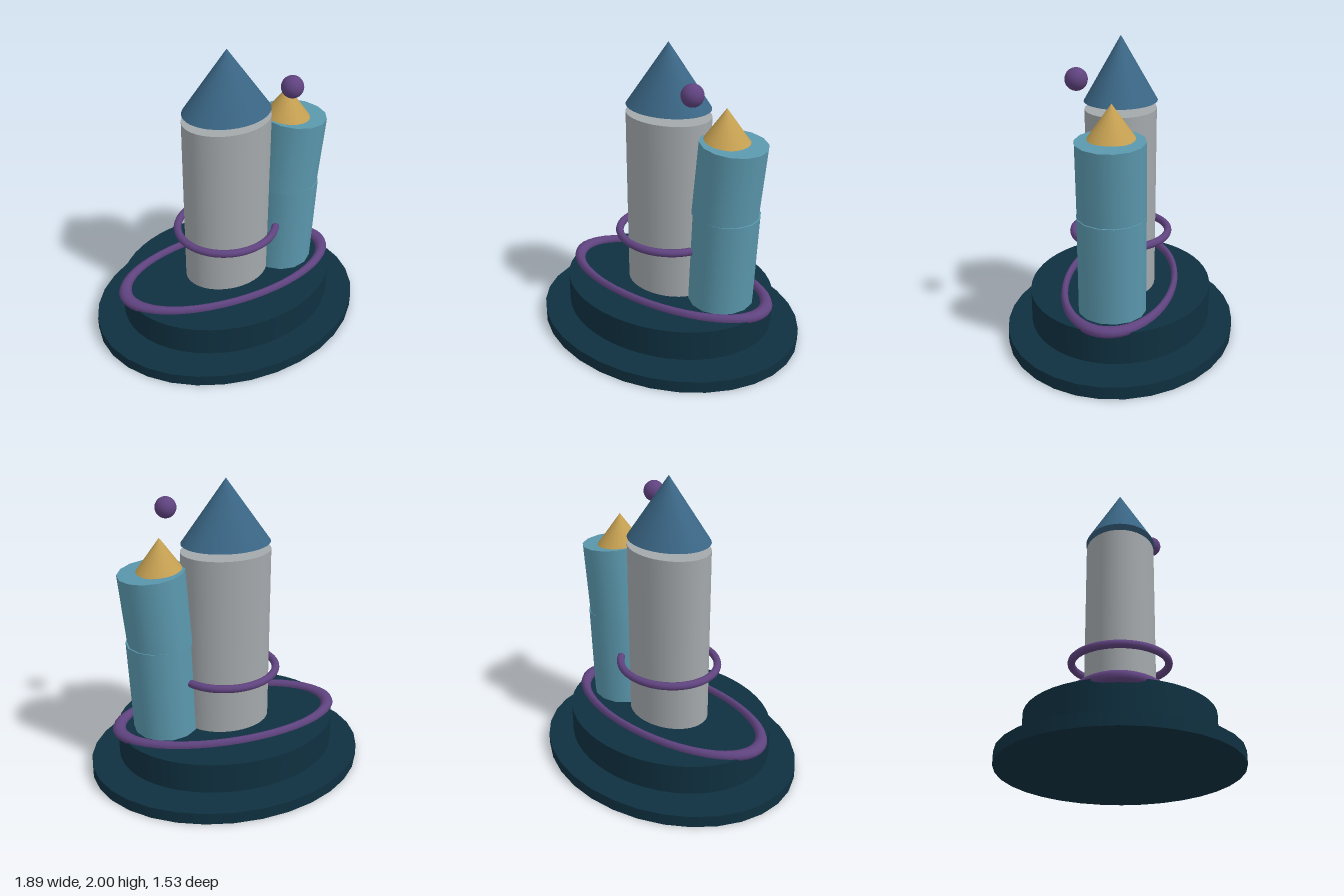
import * as THREE from 'three';

const paint = (name, color) => {
  const m = new THREE.MeshStandardMaterial({ color });
  m.name = name;
  return m;
};

export function createModel() {
  const model = new THREE.Group();
  model.name = 'twinTowers';

  const navy = paint('navy', 0x0f3040);
  const grey = paint('grey', 0xa3a8ab);
  const blue = paint('blue', 0x3a6685);
  const teal = paint('teal', 0x5a97ac);
  const gold = paint('gold', 0xc5a052);
  const purple = paint('purple', 0x5f437f);

  const add = (name, geometry, material, x = 0, y = 0, z = 0) => {
    const mesh = new THREE.Mesh(geometry, material);
    mesh.name = name;
    mesh.position.set(x, y, z);
    model.add(mesh);
    return mesh;
  };

  // Upright elliptical drum or cone between two heights
  const drum = (name, material, rx, rz, y0, y1, sides, topScale = 1, x = 0) => {
    const geometry = new THREE.CylinderGeometry(topScale, 1, y1 - y0, sides);
    geometry.scale(rx, 1, rz);
    return add(name, geometry, material, x, (y0 + y1) / 2, 0);
  };

  // Stepped base with a gap between the two discs
  drum('lowerBase', navy, 0.945, 0.765, 0, 0.08, 32);
  drum('upperBase', navy, 0.75, 0.605, 0.12, 0.33, 48);

  // Main tower and its floating roof
  drum('mainTower', grey, 0.295, 0.23, 0.33, 1.54, 48);
  drum('mainRoof', blue, 0.29, 0.235, 1.59, 2, 48, 0);

  // Leaning side tower in two stages, each given by its end centres
  const stage = (name, x0, y0, x1, y1) => {
    const length = Math.hypot(x1 - x0, y1 - y0);
    const mesh = add(name, new THREE.CylinderGeometry(0.217, 0.217, length, 14),
      teal, (x0 + x1) / 2, (y0 + y1) / 2, 0);
    mesh.rotation.z = -Math.atan2(x1 - x0, y1 - y0);
  };
  stage('sideTowerLower', 0.427, 0.32, 0.454, 0.97);
  stage('sideTowerUpper', 0.442, 0.95, 0.488, 1.448);
  drum('sideRoof', gold, 0.155, 0.155, 1.443, 1.66, 20, 0, 0.43);

  // Stretched ring lying on the base
  const baseRing = new THREE.TorusGeometry(0.58, 0.035, 10, 48);
  baseRing.rotateX(Math.PI / 2);
  baseRing.scale(1.29, 1, 0.63);
  add('baseRing', baseRing, purple, 0, 0.335, 0);

  // Open ring around the main tower, broken where the side tower stands
  const gap = THREE.MathUtils.degToRad(31);
  const towerRing = new THREE.TorusGeometry(0.33, 0.026, 12, 48, Math.PI * 2 - gap * 2);
  towerRing.rotateZ(gap);
  towerRing.rotateX(Math.PI / 2);
  towerRing.scale(1.025, 1, 0.955);
  add('towerRing', towerRing, purple, 0, 0.705, 0);

  // Floating orb
  add('orb', new THREE.SphereGeometry(0.07, 24, 16), purple, 0.33, 1.78, 0.225);

  return model;
}
